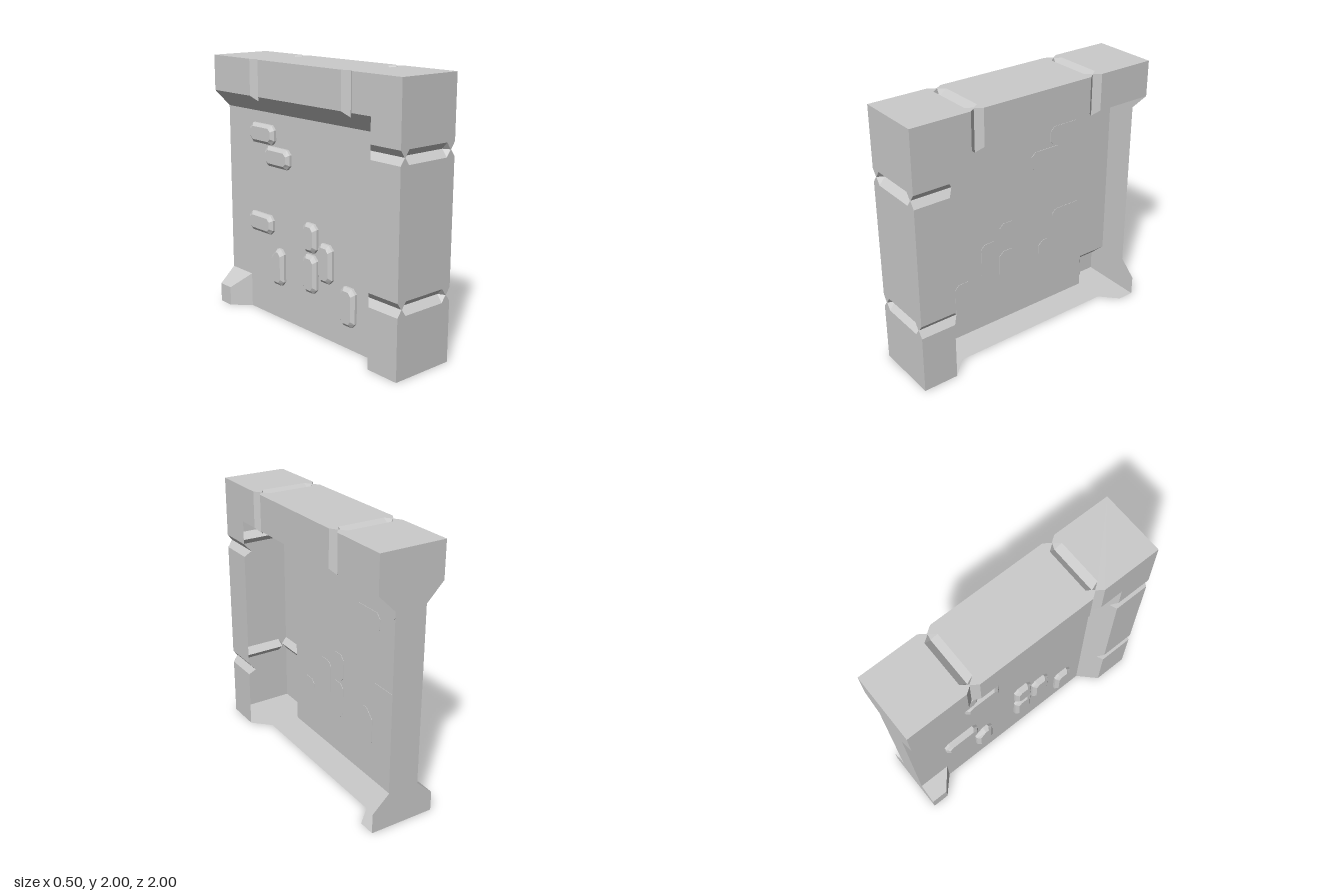
import * as THREE from 'three';

const W = 0.25, P = 0.12;        // half thickness of the frame and of the recessed panel
const RIM = 0.73, INNER = 0.6;   // where the frame ends and where its bevel meets the panel
const G = 0.05, GX = 0.21;       // groove half width, half thickness at a groove's bottom

const material = new THREE.MeshStandardMaterial({ color: 0xcccccc, flatShading: true, side: THREE.DoubleSide });

function mesh(name, geometry) {
  const m = new THREE.Mesh(geometry, material);
  m.name = name;
  return m;
}

// Flat polygons, each a list of corners, fanned into triangles
function polygons(list) {
  const pos = [];
  for (const p of list)
    for (let i = 1; i < p.length - 1; i++) pos.push(...p[0], ...p[i], ...p[i + 1]);
  const g = new THREE.BufferGeometry();
  g.setAttribute('position', new THREE.Float32BufferAttribute(pos, 3));
  g.computeVertexNormals();
  return g;
}

const shapeOf = (pts) => new THREE.Shape(pts.map(([a, b]) => new THREE.Vector2(a, b)));

// Edge face of the frame: x across, t along, notched at the sides, with two sunken grooves
function edgeFace() {
  const right = [[W, -1]];
  for (const c of [-0.5, 0.5]) right.push([W, c - G], [GX + 0.005, c], [W, c + G]);
  right.push([W, 1]);
  const shape = shapeOf([...right, ...right.map(([x, t]) => [-x, t]).reverse()]);
  for (const c of [-0.5, 0.5]) {
    shape.holes.push(new THREE.Path([[-GX, c], [-0.175, c + G], [0.175, c + G], [GX, c], [0.175, c - G], [-0.175, c - G]]
      .map(([x, t]) => new THREE.Vector2(x, t))));
  }
  return new THREE.ShapeGeometry(shape).translate(0, 0, 1);
}

// V-shaped bottoms of the edge grooves
function edgeGrooves() {
  const list = [];
  for (const c of [-0.5, 0.5]) for (const s of [-1, 1]) {
    const a = [-0.175, c + s * G, 1], b = [0.175, c + s * G, 1];
    const d = [0.185, c, 1 - G], e = [-0.185, c, 1 - G];
    list.push([a, b, d, e], [b, [GX, c, 1], d], [a, e, [-GX, c, 1]]);
  }
  return polygons(list);
}

// Side of the frame with V grooves; the bevel is added on the closed side only
function frameSide(side, withBevel) {
  const cols = [{ t: [-1, -1, -1] }];
  for (const c of [-0.5, 0.5])
    for (const o of [-G, 0, G]) cols.push({ t: [c + o, c + o, c + o], deep: o === 0 });
  cols.push({ t: [1, RIM, INNER] });   // mitred corner
  const grid = cols.map(({ t, deep }) => {
    const x = side * (deep ? GX : W);
    return [[x, t[0], 1], [x, t[1], deep ? RIM - 0.04 : RIM], [side * P, t[2], INNER]];
  });
  const list = [];
  for (let i = 0; i < grid.length - 1; i++)
    for (let r = 0; r < (withBevel ? 2 : 1); r++) {
      const q = [grid[i][r], grid[i + 1][r], grid[i + 1][r + 1], grid[i][r + 1]];
      list.push(side > 0 ? q.reverse() : q);
    }
  return polygons(list);
}

// Swaps y and z and reverses each triangle, turning the front rim into the top rim
function swapYZ(geometry) {
  const g = geometry.index ? geometry.toNonIndexed() : geometry;
  const p = g.attributes.position;
  const out = [];
  for (let i = 0; i < p.count; i += 3)
    for (const k of [0, 2, 1]) out.push(p.getX(i + k), p.getZ(i + k), p.getY(i + k));
  const r = new THREE.BufferGeometry();
  r.setAttribute('position', new THREE.Float32BufferAttribute(out, 3));
  r.computeVertexNormals();
  return r;
}

function rim(name, convert) {
  const g = new THREE.Group();
  g.name = name;
  g.add(mesh('edgeFace', convert(edgeFace())));
  g.add(mesh('edgeGrooves', convert(edgeGrooves())));
  g.add(mesh('leftFrameSide', convert(frameSide(1, false))));
  g.add(mesh('rightFrameSide', convert(frameSide(-1, true))));
  g.position.y = 1;
  return g;
}

// Raised brick on the panel; chip enlarges the cut of its upper back corner
function brick([z0, z1, y0, y1, chip = 0.035]) {
  const c = 0.035, depth = 0.045;
  const w = (z1 - z0) / 2, h = (y1 - y0) / 2;
  const shape = shapeOf([[-w + c, -h], [w - c, -h], [w, -h + c], [w, h - c],
    [w - c, h], [-w + chip, h], [-w, h - chip], [-w, -h + c]]);
  const g = new THREE.ExtrudeGeometry(shape, { depth, steps: 2, bevelEnabled: false });
  const p = g.attributes.position;
  for (let i = 0; i < p.count; i++)      // bevel the outer face
    if (p.getZ(i) > depth * 0.9)
      p.setXY(i, p.getX(i) * (1 - 0.025 / w), p.getY(i) * (1 - 0.025 / h));
  g.computeVertexNormals();
  g.rotateY(-Math.PI / 2).translate(-P + 0.003, (y0 + y1) / 2, (z0 + z1) / 2);
  return mesh('brick', g);
}

export function createModel() {
  const model = new THREE.Group();
  model.name = 'wallPanel';

  // Grooved frame along the front and the top
  model.add(rim('frontRim', (g) => g), rim('topRim', swapYZ));

  // Recessed panel on the closed side
  const panel = new THREE.ShapeGeometry(shapeOf([
    [INNER, 0], [INNER, 1.6], [-1, 1.6], [-1, 0.27], [-0.75, 0.27], [-0.75, 0]]));
  model.add(mesh('panel', panel.rotateY(-Math.PI / 2).translate(-P, 0, 0)));

  // Flared foot at the lower back corner
  const k = [-P, 0.27, -0.75], m = [-W, 0.15, -0.87];
  model.add(mesh('cornerFoot', polygons([
    [k, m, [-W, 0.15, -1], [-P, 0.27, -1]],
    [k, [-P, 0, -0.75], [-W, 0, -0.87], m],
    [m, [-W, 0, -0.87], [-W, 0, -1], [-W, 0.15, -1]],
  ])));

  // Back end and floor follow the wide-narrow-wide section
  const mirrored = (half) => new THREE.ShapeGeometry(
    shapeOf([...half, ...half.map(([x, v]) => [-x, v]).reverse()]));
  const back = mirrored([[W, 0], [W, 0.15], [P, 0.27], [P, 1.6], [W, 1.73], [W, 2]]);
  model.add(mesh('backEnd', back.rotateY(Math.PI).translate(0, 0, -1)));
  const floor = mirrored([[W, -1], [W, -0.87], [P, -0.75], [P, INNER], [W, RIM], [W, 1]]);
  model.add(mesh('floor', floor.rotateX(Math.PI / 2)));

  // Bricks: back z, front z, bottom, top, chip
  const bricks = new THREE.Group();
  bricks.name = 'bricks';
  for (const b of [
    [-0.7, -0.41, 1.36, 1.51], [-0.52, -0.23, 1.2, 1.35], [-0.73, -0.44, 0.66, 0.81],
    [-0.08, 0.07, 0.63, 0.85], [-0.08, 0.07, 0.32, 0.61], [0.09, 0.24, 0.44, 0.73],
    [0.33, 0.48, 0.18, 0.47], [-0.46, -0.31, 0.28, 0.57, 0.075],
  ]) bricks.add(brick(b));
  model.add(bricks);

  return model;
}
